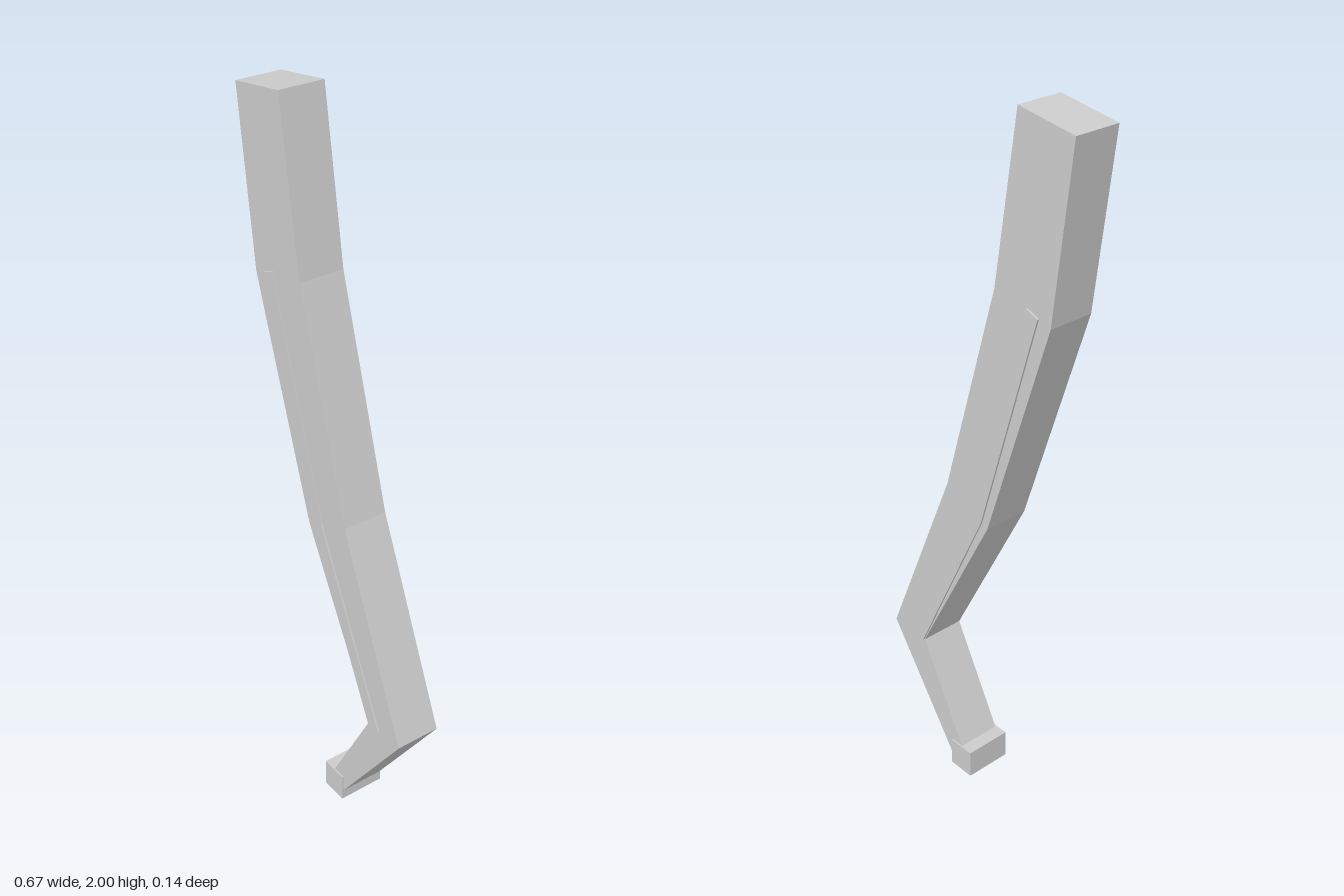
import * as THREE from 'three';

const material = new THREE.MeshStandardMaterial({ color: 0xcccccc, flatShading: true });

// Flat outline extruded along z, centred on z = 0
function slab(name, outline, depth) {
  const shape = new THREE.Shape(outline.map(([x, y]) => new THREE.Vector2(x, y)));
  const geometry = new THREE.ExtrudeGeometry(shape, { depth, bevelEnabled: false });
  geometry.translate(0, 0, -depth / 2);
  const mesh = new THREE.Mesh(geometry, material);
  mesh.name = name;
  return mesh;
}

export function createModel() {
  const group = new THREE.Group();
  group.name = 'bentLeg';

  // Main limb: tapering bent bar with a sharp knee near the bottom
  group.add(slab('limb', [
    [-0.333, 1.975], [-0.272, 1.515], [-0.06, 0.88], [0.205, 0.378], [0.05, 0.085],
    [0.03, 0.03], [0.075, 0.01], [0.09, 0.03], [0.333, 0.38], [0.095, 0.945],
    [-0.085, 1.555], [-0.157, 2],
  ], 0.128));

  // Narrow rib running through the limb, slightly proud on both sides
  group.add(slab('sideRib', [
    [-0.234, 1.528], [-0.04, 0.89], [0.207, 0.378], [0.25, 0.378],
    [0.0, 0.905], [-0.195, 1.543],
  ], 0.138));

  // Foot block
  const foot = new THREE.Mesh(new THREE.BoxGeometry(0.08, 0.084, 0.136), material);
  foot.name = 'foot';
  foot.position.set(0.05, 0.042, 0);
  group.add(foot);

  return group;
}
